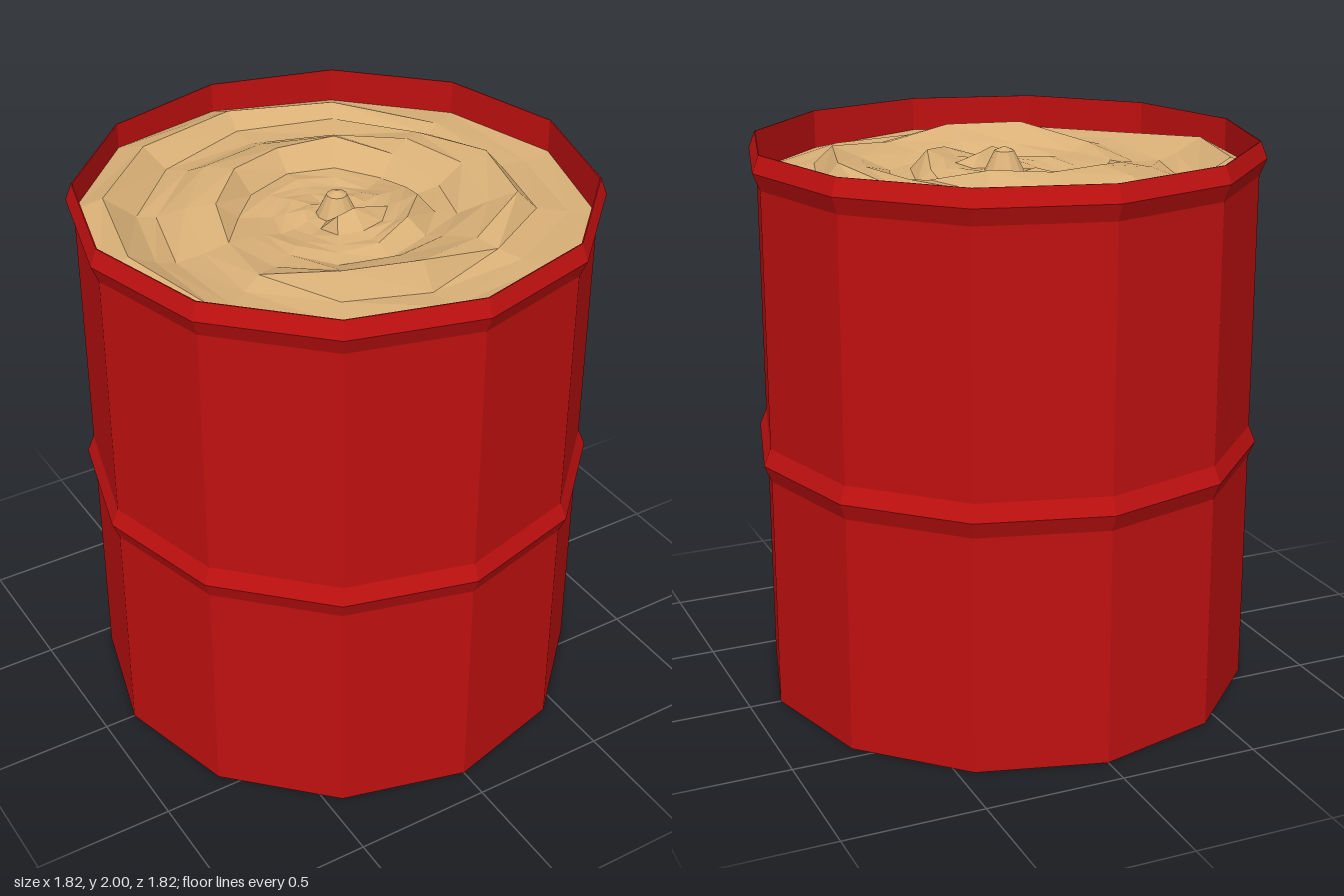
import * as THREE from 'three';

const red = new THREE.MeshStandardMaterial({ color: 0xc01010 });
red.name = 'red paint';
const tan = new THREE.MeshStandardMaterial({ color: 0xd9b077 });
tan.name = 'sand';

const SIDES = 12;

// Faceted surface of revolution, with an optional rule that moves its vertices
function facetedLathe(name, profile, material, move) {
  const points = profile.map(([r, y]) => new THREE.Vector2(r, y));
  const lathe = new THREE.LatheGeometry(points, SIDES);
  if (move) {
    const pos = lathe.attributes.position;
    const v = new THREE.Vector3();
    for (let i = 0; i < pos.count; i++) {
      v.fromBufferAttribute(pos, i);
      move(v);
      pos.setXYZ(i, v.x, v.y, v.z);
    }
  }
  const geometry = lathe.toNonIndexed();
  geometry.computeVertexNormals();
  const mesh = new THREE.Mesh(geometry, material);
  mesh.name = name;
  return mesh;
}

// Ripples in the sand: [steep start radius, steep end radius, direction, angle, half width, height]
// direction 1 rises outward, -1 falls outward; angle 0 is the front, 90 is +x
const RIPPLES = [
  [0.69, 0.77, 1, 190, 62, 0.07],
  [0.60, 0.68, -1, 80, 75, 0.07],
  [0.69, 0.77, 1, 268, 50, 0.05],
  [0.52, 0.60, -1, 345, 62, 0.07],
  [0.33, 0.41, 1, 182, 80, 0.08],
  [0.27, 0.33, -1, 45, 62, 0.06],
  [0.11, 0.17, -1, 0, 62, 0.05],
];

function rippleHeight(r, degrees) {
  let h = 0;
  for (const [r0, r1, dir, angle, halfWidth, height] of RIPPLES) {
    const d = Math.abs(((degrees - angle + 540) % 360) - 180);
    if (d >= halfWidth) continue;
    const crest = dir > 0 ? r1 : r0;
    const out = (r - crest) * dir;
    const fade = out > 0 ? 1 - out / 0.2 : 1 + out / (r1 - r0);
    h += height * Math.max(0, fade) * Math.min(1, 1.6 * (1 - d / halfWidth));
  }
  return h;
}

function shapeSand(v) {
  const r = Math.hypot(v.x, v.z);
  if (r < 0.09) return;
  const a = Math.atan2(v.x, v.z);
  const degrees = (THREE.MathUtils.radToDeg(a) + 360) % 360;
  v.y += rippleHeight(r, degrees) + 0.012 * Math.sin(3 * a + r * 17);
  if (r < 0.8) {
    const k = 1 + 0.02 * Math.sin(2 * a + r * 40);
    v.x *= k;
    v.z *= k;
  }
}

export function createModel() {
  const group = new THREE.Group();
  group.name = 'barrel of sand';

  // Shell: closed bottom, two raised hoops and the inside of the rim
  group.add(facetedLathe('barrelShell', [
    [0, 0], [0.885, 0],
    [0.885, 0.85], [0.91, 0.91], [0.885, 0.97],
    [0.885, 1.88], [0.91, 1.94], [0.887, 2],
    [0.883, 2], [0.883, 1.78],
  ], red));

  // Sand filling with a small peak in the middle
  group.add(facetedLathe('sandFilling', [
    [0.883, 1.87], [0.77, 1.88], [0.69, 1.88], [0.6, 1.875], [0.52, 1.88],
    [0.41, 1.875], [0.33, 1.87], [0.27, 1.875], [0.22, 1.87], [0.17, 1.875],
    [0.11, 1.88], [0.07, 1.88], [0.035, 1.95], [0, 1.965],
  ], tan, shapeSand));

  return group;
}
